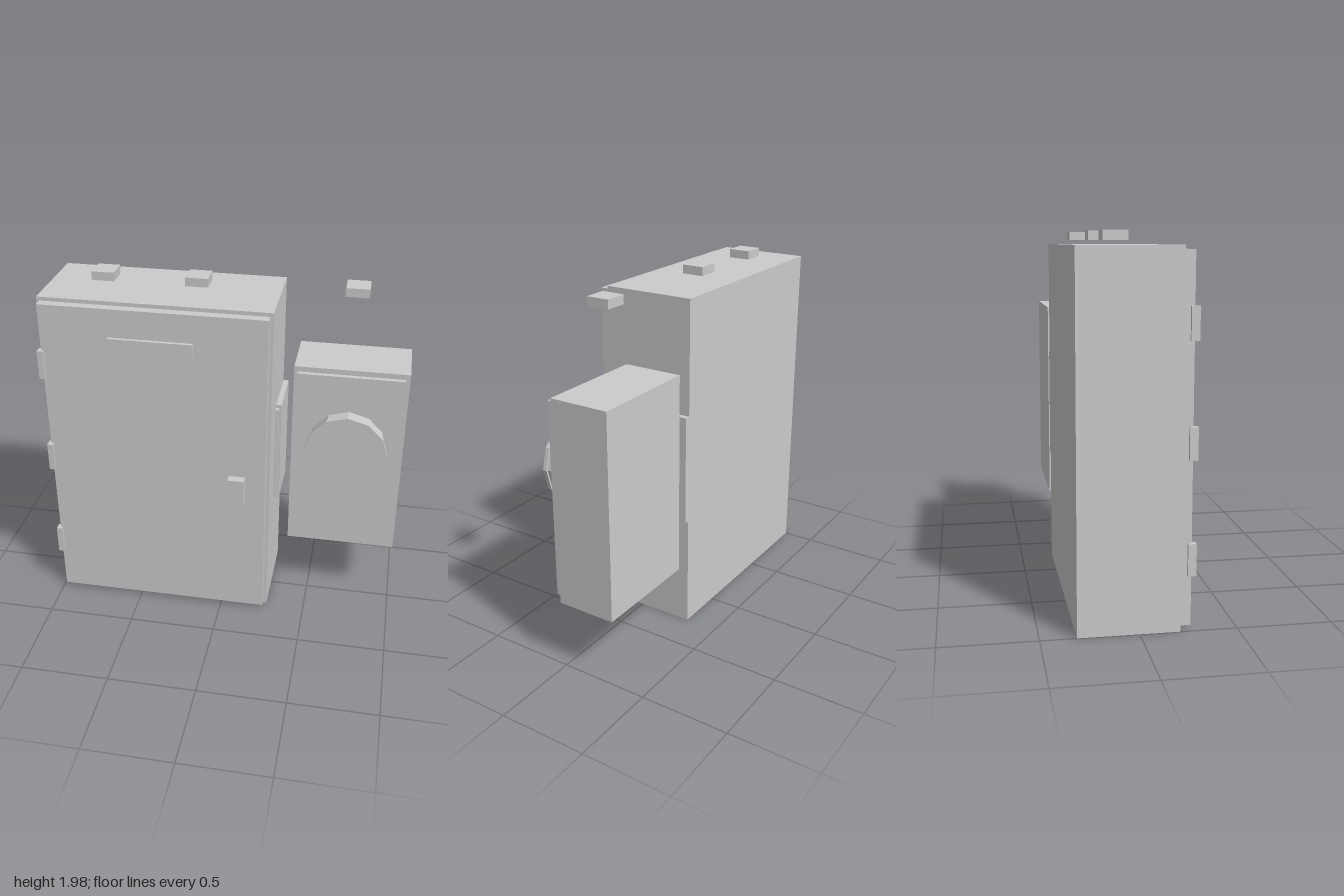
import * as THREE from 'three';

export function createModel() {
  const model = new THREE.Group();
  const material = new THREE.MeshStandardMaterial({ color: 0xcccccc, flatShading: true });

  const add = (name, geometry, x, y, z, parent = model) => {
    const mesh = new THREE.Mesh(geometry, material);
    mesh.name = name;
    mesh.position.set(x, y, z);
    parent.add(mesh);
    return mesh;
  };
  // Box given by its limits along each axis
  const box = (name, [x0, x1], [y0, y1], [z0, z1], parent) =>
    add(name, new THREE.BoxGeometry(x1 - x0, y1 - y0, z1 - z0),
      (x0 + x1) / 2, (y0 + y1) / 2, (z0 + z1) / 2, parent);
  const group = (name) => {
    const g = new THREE.Group();
    g.name = name;
    model.add(g);
    return g;
  };

  // Main cabinet with door, nameplate and latch
  const cabinet = group('mainCabinet');
  box('cabinetBody', [-1, 0.275], [0, 1.91], [-0.315, 0.207], cabinet);
  box('cabinetDoor', [-0.982, 0.257], [0.025, 1.89], [0.21, 0.262], cabinet);
  box('nameplate', [-0.595, -0.135], [1.64, 1.74], [0.283, 0.303], cabinet);
  box('doorLatch', [0.052, 0.144], [0.77, 0.937], [0.267, 0.315], cabinet);

  // Hinges down the door edge
  for (const y of [0.37, 0.958, 1.543])
    box('hinge', [-1, -0.967], [y - 0.083, y + 0.083], [0.241, 0.284], cabinet);

  // Shallow side box with its own cover
  const side = group('sideBox');
  box('sideBoxBody', [0.26, 0.306], [0.645, 1.27], [-0.315, 0], side);
  box('sideBoxCover', [0.26, 0.293], [0.667, 1.25], [0, 0.028], side);

  // Meter box: body, cover and twelve-sided meter
  const meter = group('meterBox');
  box('meterBoxBody', [0.37, 1], [0.385, 1.53], [-0.315, 0.02], meter);
  box('meterBoxCover', [0.39, 0.978], [0.415, 1.505], [0.03, 0.057], meter);
  const disc = (name, r, z0, z1) => {
    const g = new THREE.CylinderGeometry(r, r, z1 - z0, 12).rotateX(Math.PI / 2);
    add(name, g, 0.685, 1.082, (z0 + z1) / 2, meter);
  };
  disc('meterDrum', 0.22, 0.07, 0.145);
  disc('meterFace', 0.23, 0.143, 0.166);

  // Conduit caps above the boxes
  for (const x of [-0.698, -0.177, 0.683])
    box('conduitCap', [x - 0.063, x + 0.063], [1.933, 1.982], [-0.15, -0.023]);

  return model;
}
